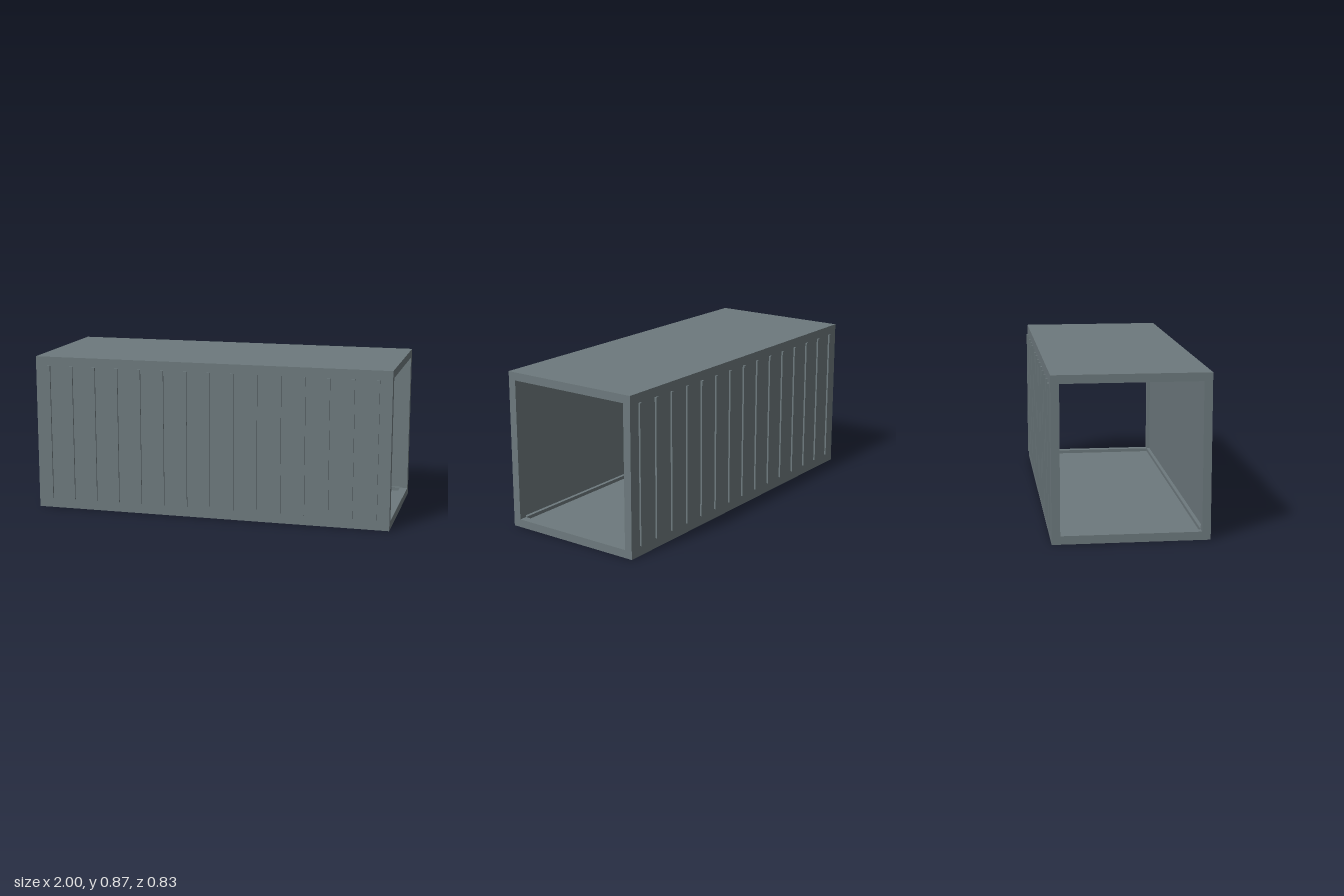
import * as THREE from 'three';

const LENGTH = 2, HEIGHT = 0.866, WIDTH = 0.814;
const BEAM = 0.044; // corner frame thickness
const PANEL = 0.025; // sheet thickness

export function createModel() {
  const group = new THREE.Group();
  group.name = 'shippingContainer';
  const steel = new THREE.MeshStandardMaterial({ color: 0x6d797d });

  const box = (name, size, position) => {
    const mesh = new THREE.Mesh(new THREE.BoxGeometry(...size), steel);
    mesh.name = name;
    mesh.position.set(...position);
    group.add(mesh);
  };

  const span = LENGTH - 2 * BEAM;
  const inner = WIDTH - 2 * BEAM;

  // Open end frames: posts with a sill and a header
  for (const sx of [-1, 1]) {
    const x = sx * (LENGTH - BEAM) / 2;
    for (const sz of [-1, 1]) {
      box('cornerPost', [BEAM, HEIGHT, BEAM], [x, HEIGHT / 2, sz * (WIDTH - BEAM) / 2]);
    }
    box('endSill', [BEAM, BEAM, inner], [x, BEAM / 2, 0]);
    box('endHeader', [BEAM, BEAM, inner], [x, HEIGHT - BEAM / 2, 0]);
  }

  // Long sides: rails, wall sheet and vertical ribs
  const ribCount = 15, ribStep = 0.132;
  for (const sz of [-1, 1]) {
    const railZ = sz * (WIDTH - BEAM) / 2;
    box('bottomRail', [span, BEAM, BEAM], [0, BEAM / 2, railZ]);
    box('topRail', [span, BEAM, BEAM], [0, HEIGHT - BEAM / 2, railZ]);
    box('sideWall', [span, HEIGHT - 2 * BEAM, PANEL], [0, HEIGHT / 2, sz * (WIDTH - PANEL) / 2]);
    for (let i = 0; i < ribCount; i++) {
      const x = (i - (ribCount - 1) / 2) * ribStep;
      box('wallRib', [0.018, 0.76, 0.02], [x, 0.435, sz * WIDTH / 2]);
    }
  }

  // Floor and roof sheets set between the rails
  box('floor', [span, PANEL, inner], [0, PANEL / 2, 0]);
  box('roof', [span, PANEL, inner], [0, HEIGHT - PANEL / 2, 0]);

  return group;
}
